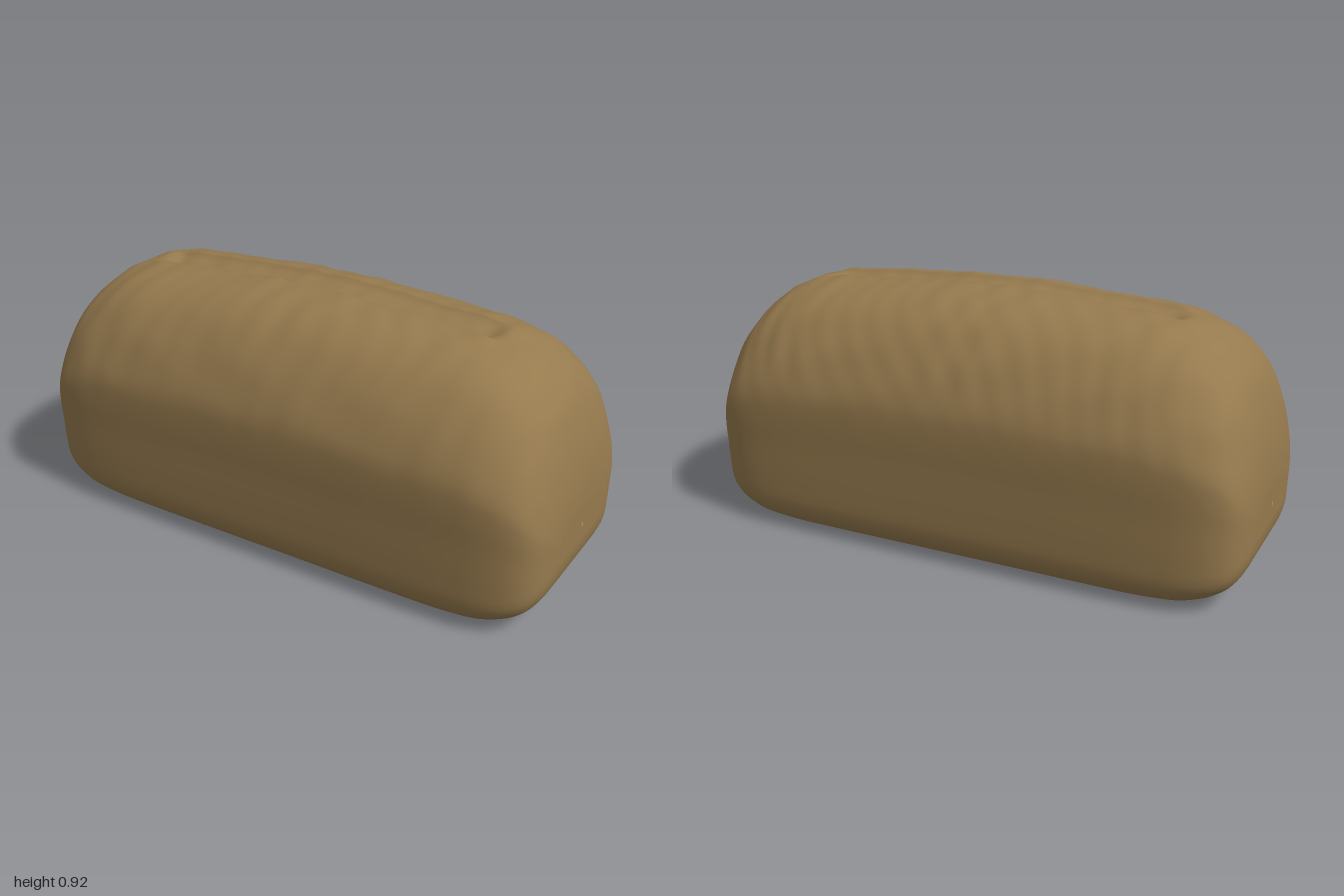
import * as THREE from 'three';

const V = (x, y, z = 0) => new THREE.Vector3(x, y, z);
const HEIGHT = 0.92;

// Half of the middle cross-section: [z, y] from under the loaf up to the ridge beside the score
const SIDE = [
  [0, 0], [0.14, 0], [0.25, 0.001], [0.31, 0.01], [0.36, 0.032], [0.395, 0.085], [0.408, 0.2], [0.414, 0.34],
  [0.42, 0.47], [0.415, 0.56], [0.382, 0.66], [0.34, 0.745], [0.275, 0.83], [0.2, 0.882], [0.13, 0.906], [0.072, 0.92],
];
// Score between the ridges: [z, depth]
const SCORE = [[0.064, 0.008], [0.054, 0.017], [0.042, 0.022], [0.02, 0.029], [0, 0.035]];

// Stations from the middle to one end: [x, bottom, top, width factor]
const STATIONS = [
  [0, 0, 0.92, 1], [0.12, 0, 0.92, 1], [0.25, 0, 0.912, 1], [0.38, 0, 0.904, 1], [0.5, 0, 0.896, 0.998],
  [0.62, 0, 0.887, 0.994], [0.72, 0.004, 0.865, 0.985], [0.8, 0.012, 0.83, 0.97], [0.87, 0.032, 0.775, 0.938],
  [0.92, 0.056, 0.71, 0.89], [0.955, 0.085, 0.625, 0.825], [0.98, 0.125, 0.53, 0.73], [0.994, 0.17, 0.44, 0.6],
  [1, 0.21, 0.36, 0.45],
];

// Closed loop of section points { z, y, score depth }
function sectionLoop() {
  const curve = new THREE.CatmullRomCurve3(SIDE.map(([z, y]) => V(z, y)));
  const half = curve.getPoints(52).map((p) => ({ z: p.x, y: Math.max(0, p.y), depth: 0 }));
  SCORE.forEach(([z, depth]) => half.push({ z, y: HEIGHT, depth }));
  const mirrored = half.slice(1, -1).reverse().map((p) => ({ ...p, z: -p.z }));
  return [...half, ...mirrored];
}

// Smooth stations along the full length
function stationList() {
  const shape = new THREE.CatmullRomCurve3(STATIONS.map(([x, b, t]) => V(x, b, t)), false, 'catmullrom');
  const width = new THREE.CatmullRomCurve3(STATIONS.map(([x, , , w]) => V(x, w)), false, 'catmullrom');
  const n = (STATIONS.length - 1) * 7;
  const half = [];
  for (let i = 0; i <= n; i++) {
    const p = shape.getPoint(i / n);
    half.push({ x: Math.min(p.x, 1), bottom: Math.max(0, p.y), top: p.z, w: width.getPoint(i / n).y });
  }
  return [...half.slice(1).reverse().map((s) => ({ ...s, x: -s.x })), ...half];
}

// Gentle diagonal wrinkles of the crust
const wrinkle = (x, y, z) =>
  0.5 * Math.sin(31 * x + 22 * z + 2 * Math.sin(9 * x)) +
  0.3 * Math.sin(57 * x - 25 * y + 3 * Math.sin(11 * z + 4 * x)) +
  0.4 * Math.sin(13 * x + 30 * y + 17 * z);

function loafGeometry() {
  const loop = sectionLoop();
  const rings = stationList().map((s) => {
    const scored = 1 - THREE.MathUtils.smoothstep(Math.abs(s.x), 0.62, 0.7);
    return loop.map((p) => {
      const k = (s.top - s.bottom) / HEIGHT;
      const y = s.bottom + (p.y - p.depth * scored) * k;
      const z = p.z * s.w;
      const crust = THREE.MathUtils.smoothstep(p.y, 0.45, 0.75) * 0.0035 * wrinkle(s.x, y, z);
      const out = V(0, p.y - 0.45, p.z).normalize();
      return V(s.x, y + out.y * crust, z + out.z * crust);
    });
  });

  // End faces close in on a tiny round hole
  const endRings = (ring) => [0.35, 0.7, 1].map((f) => ring.map((p) => {
    const a = Math.atan2(p.y - 0.275, p.z);
    return p.clone().lerp(V(p.x, 0.275 + 0.008 * Math.sin(a), 0.008 * Math.cos(a)), f);
  }));
  const all = [...endRings(rings[0]).reverse(), ...rings, ...endRings(rings[rings.length - 1])];

  const n = loop.length;
  const index = [];
  for (let i = 0; i < all.length - 1; i++) {
    for (let j = 0; j < n; j++) {
      const a = i * n + j, b = i * n + (j + 1) % n;
      index.push(a, a + n, b, b, a + n, b + n);
    }
  }
  const geometry = new THREE.BufferGeometry().setFromPoints(all.flat());
  geometry.setIndex(index);
  geometry.computeVertexNormals();
  return geometry;
}

export function createModel() {
  const crust = new THREE.MeshStandardMaterial({ color: 0x967a4e });
  crust.name = 'crust brown';

  const loaf = new THREE.Mesh(loafGeometry(), crust);
  loaf.name = 'loaf';

  const group = new THREE.Group();
  group.name = 'breadLoaf';
  group.add(loaf);
  return group;
}
